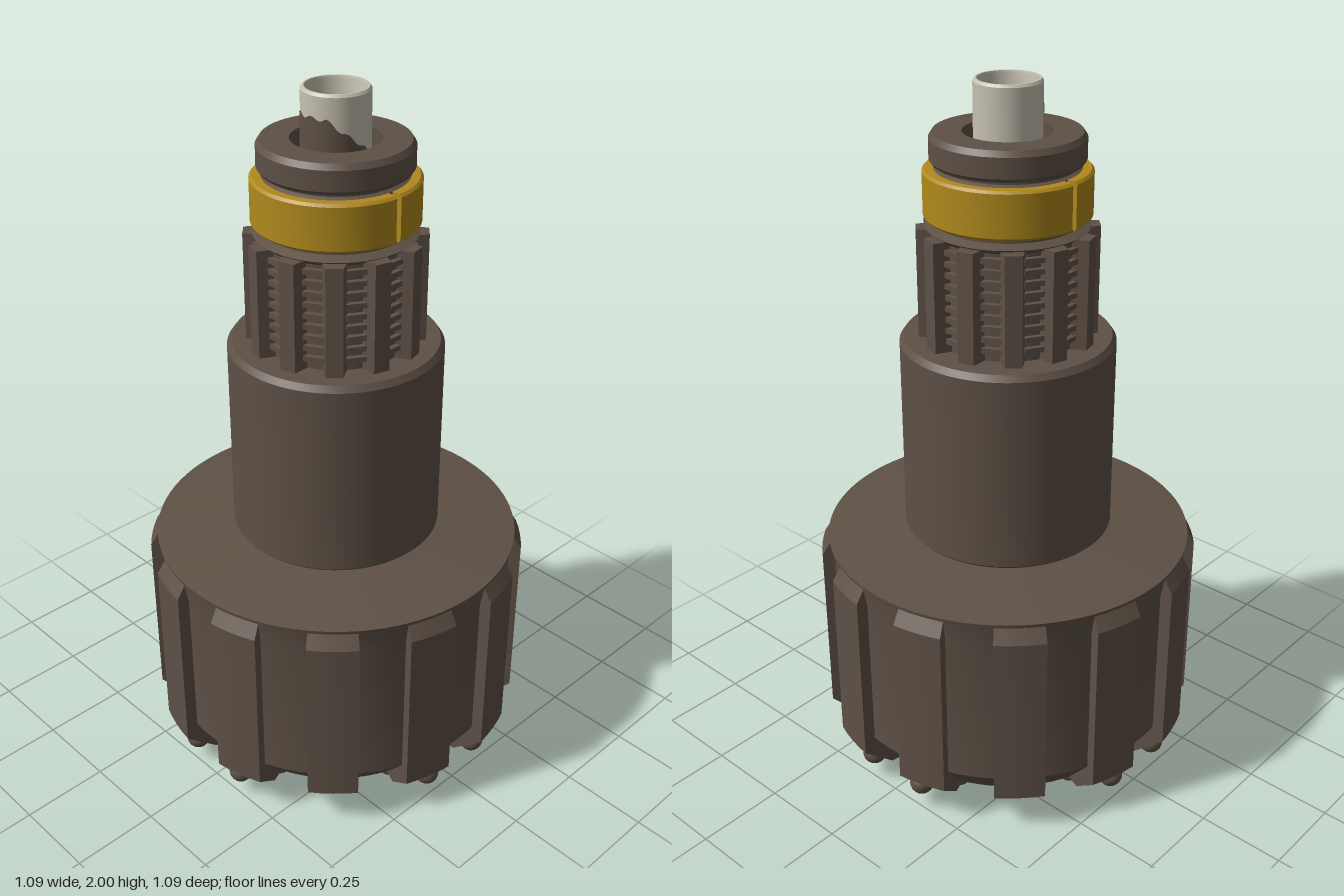
import * as THREE from 'three';
import { toCreasedNormals } from 'three/addons/utils/BufferGeometryUtils.js';

const RAD = Math.PI / 180;

export function createModel() {
  const model = new THREE.Group();
  const paint = (name, color) => {
    const m = new THREE.MeshStandardMaterial({ color, side: THREE.DoubleSide });
    m.name = name;
    return m;
  };
  const steel = paint('dark steel', 0x5e5146);
  const brass = paint('brass', 0xb08a1c);
  const pale = paint('pale tube', 0xc6c1b1);

  const add = (name, geometry, material, parent = model) => {
    const mesh = new THREE.Mesh(geometry, material);
    mesh.name = name;
    parent.add(mesh);
    return mesh;
  };
  const group = (name) => {
    const g = new THREE.Group();
    g.name = name;
    model.add(g);
    return g;
  };
  const points = (list) => list.map(([r, y]) => new THREE.Vector2(r, y));

  // Turned part, sharp at profile corners
  const turned = (name, list, material, segments = 72) =>
    add(name, toCreasedNormals(new THREE.LatheGeometry(points(list), segments), 0.4), material);

  // Part of a turned ring, closed by flat ends
  const sector = (name, list, material, start, length, segments, parent) => {
    const g = new THREE.Group();
    g.name = name;
    parent.add(g);
    const closed = points([...list, list[0]]);
    const skin = new THREE.LatheGeometry(closed, segments, start, length);
    add(name + 'Skin', toCreasedNormals(skin, 0.4), material, g);
    for (const phi of [start, start + length]) {
      const end = new THREE.ShapeGeometry(new THREE.Shape(points(list)));
      end.rotateY(phi - Math.PI / 2);
      add(name + 'End', end, material, g);
    }
  };

  // Bit head with a bore and an almost flat shoulder
  turned('head', [
    [0.087, 0.3], [0.087, 0.04], [0.41, 0.04], [0.515, 0.16], [0.515, 0.62],
    [0.528, 0.69], [0.26, 0.72],
  ], steel, 96);

  // Twelve raised lugs around the head
  const lugs = group('lugs');
  const lugProfile = [
    [0.38, 0.04], [0.455, 0.04], [0.55, 0.12], [0.55, 0.64], [0.52, 0.69], [0.38, 0.69],
  ];
  for (let i = 0; i < 12; i++) {
    sector('lug', lugProfile, steel, (7.5 + 30 * i) * RAD, 15 * RAD, 4, lugs);
  }

  // Round cutting buttons on the rim and on the face
  const buttons = group('buttons');
  const ball = new THREE.SphereGeometry(0.035, 18, 12);
  const buttonRing = (name, r, y, angles) => {
    for (const a of angles) {
      add(name, ball, steel, buttons).position.set(r * Math.sin(a * RAD), y, r * Math.cos(a * RAD));
    }
  };
  for (let k = 0; k < 4; k++) buttonRing('rimButton', 0.495, 0.075, [90 * k - 11.5, 90 * k + 11.5]);
  buttonRing('outerFaceButton', 0.375, 0.035, Array.from({ length: 14 }, (_, i) => 135 + i * 360 / 14));
  buttonRing('innerFaceButton', 0.23, 0.035, [25, 100, 170, 240, 310]);

  // Shank
  turned('shank', [
    [0.2, 0.715], [0.29, 0.715], [0.3, 0.725], [0.3, 1.285], [0.288, 1.302], [0.1, 1.302],
  ], steel);

  // Spline core, neck and upper collar, bored through
  turned('core', [
    [0.204, 1.3], [0.204, 1.6], [0.222, 1.615], [0.195, 1.625], [0.195, 1.77],
    [0.185, 1.775], [0.185, 1.785], [0.2, 1.785], [0.207, 1.795], [0.207, 1.85],
    [0.197, 1.865], [0.12, 1.865], [0.12, 1.8], [0.087, 1.78], [0.087, 0.04],
  ], steel);

  // Splines with stacked ridges in the grooves between them
  const splines = group('splines');
  const rib = new THREE.Shape(points([[-0.035, 0.19], [0.035, 0.19], [0.023, 0.246], [-0.023, 0.246]]));
  const ribGeometry = new THREE.ExtrudeGeometry(rib, { depth: 0.31, bevelEnabled: false });
  ribGeometry.rotateX(Math.PI / 2).translate(0, 1.61, 0);
  const ridgeGeometry = new THREE.BoxGeometry(0.055, 0.015, 0.03);
  for (let i = 0; i < 12; i++) {
    add('spline', ribGeometry, steel, splines).rotation.y = (15 + 30 * i) * RAD;
    const a = 30 * i * RAD;
    for (let j = 0; j < 9; j++) {
      const ridge = add('ridge', ridgeGeometry, steel, splines);
      ridge.position.set(0.203 * Math.sin(a), 1.335 + j * 0.031, 0.203 * Math.cos(a));
      ridge.rotation.y = a;
    }
  }

  // Split brass ring in two halves
  const ring = group('splitRing');
  const ringProfile = [
    [0.195, 1.64], [0.219, 1.64], [0.226, 1.647], [0.226, 1.763], [0.219, 1.77], [0.195, 1.77],
  ];
  for (const start of [2, 182]) {
    sector('ringHalf', ringProfile, brass, start * RAD, 176 * RAD, 48, ring);
  }

  // Pale tube standing in the bore
  turned('tube', [
    [0.079, 1.7], [0.091, 1.7], [0.091, 1.993], [0.086, 2], [0.081, 2], [0.079, 1.993], [0.079, 1.7],
  ], pale, 48);

  // Uneven dark patch wrapped around part of the tube
  const patch = new THREE.CylinderGeometry(0.0925, 0.0925, 0.2, 48, 1, true, -140 * RAD, 185 * RAD);
  const p = patch.attributes.position;
  for (let i = 0; i < p.count; i++) {
    const a = Math.atan2(p.getX(i), p.getZ(i)) / RAD;
    const top = 1.937 - Math.max(0, a + 60) * 0.0012 + 0.005 * Math.sin(a * 0.2);
    p.setY(i, p.getY(i) > 0 ? top : 1.78);
  }
  add('tubePatch', patch, steel);

  return model;
}
